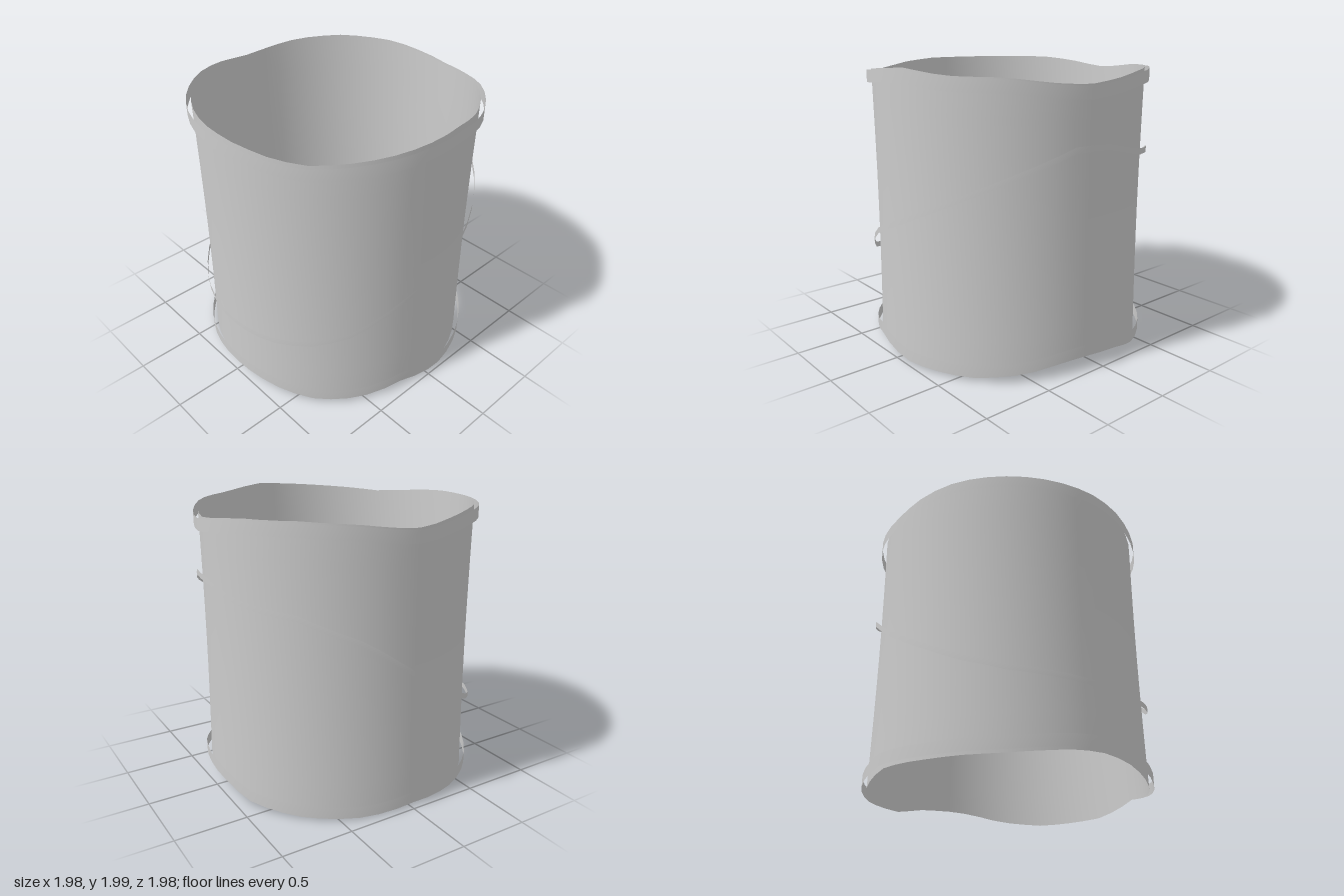
import * as THREE from 'three';

const SEGMENTS = 48;

// Heights around the ring as [degrees, y]; 0 faces +z, 90 faces +x
const TOP = [[0, 1.95], [15, 1.935], [25, 1.915], [38, 1.903], [50, 1.92], [66, 1.94], [85, 1.965], [98, 1.98],
  [117, 1.945], [139, 1.942], [160, 1.9], [172, 1.89], [185, 1.91], [200, 1.94], [225, 1.95], [245, 1.935],
  [262, 1.9], [272, 1.89], [288, 1.93], [302, 1.95], [330, 1.95], [360, 1.95]];
const BOTTOM = [[0, 0.08], [12, 0.07], [25, 0.04], [38, 0.015], [50, 0.022], [60, 0.04], [75, 0.085], [96, 0.02],
  [127, 0.02], [146, 0.055], [162, 0.11], [175, 0.115], [188, 0.09], [202, 0.03], [225, 0.01], [250, 0.012],
  [270, 0.045], [295, 0.02], [320, 0.018], [335, 0.04], [348, 0.07], [360, 0.08]];
const STRIP = [[0, 0.488], [20, 0.495], [37, 0.54], [53, 0.63], [75, 0.85], [96, 1.0], [127, 1.24], [145, 1.37],
  [166, 1.51], [180, 1.5], [200, 1.42], [225, 1.37], [250, 1.2], [270, 0.96], [288, 0.77], [305, 0.62],
  [323, 0.53], [340, 0.503], [360, 0.488]];

function heightAt(table, deg) {
  const i = Math.max(1, table.findIndex(([d]) => d >= deg));
  const [d0, y0] = table[i - 1], [d1, y1] = table[i];
  return y0 + (y1 - y0) * (deg - d0) / (d1 - d0);
}

// Closed sheet around y; profile(deg) lists [radius, y] from bottom to top
function ringSheet(name, profile) {
  const positions = [], index = [];
  const rows = profile(0).length;
  for (let i = 0; i < SEGMENTS; i++) {
    const deg = i * 360 / SEGMENTS, a = THREE.MathUtils.degToRad(deg);
    for (const [r, y] of profile(deg)) positions.push(r * Math.sin(a), y, r * Math.cos(a));
    for (let j = 0; j < rows - 1; j++) {
      const p = i * rows + j, q = ((i + 1) % SEGMENTS) * rows + j;
      index.push(p, q, q + 1, p, q + 1, p + 1);
    }
  }
  const geometry = new THREE.BufferGeometry();
  geometry.setAttribute('position', new THREE.Float32BufferAttribute(positions, 3));
  geometry.setIndex(index);
  geometry.computeVertexNormals();
  const material = new THREE.MeshStandardMaterial({ color: 0xcccccc, side: THREE.DoubleSide });
  const mesh = new THREE.Mesh(geometry, material);
  mesh.name = name;
  return mesh;
}

export function createModel() {
  const group = new THREE.Group();
  group.name = 'cuff';

  // Open wall, slightly waisted, with wavy rims
  group.add(ringSheet('wall', (deg) => {
    const y0 = heightAt(BOTTOM, deg) - 0.01, y1 = heightAt(TOP, deg) + 0.006;
    return Array.from({ length: 9 }, (_, j) => {
      const t = j / 8;
      return [0.957 - 0.01 * Math.sin(Math.PI * t), y0 + (y1 - y0) * t];
    });
  }));

  // Thin bands standing just clear of the wall
  const band = (name, table, low, high, r) => group.add(ringSheet(name, (deg) => {
    const y = heightAt(table, deg);
    return [[r, y + low], [r, y + high]];
  }));
  band('topBand', TOP, -0.085, 0, 0.99);
  band('bottomBand', BOTTOM, 0, 0.08, 0.99);
  band('slantedStrip', STRIP, -0.02, 0.02, 0.99);

  return group;
}
